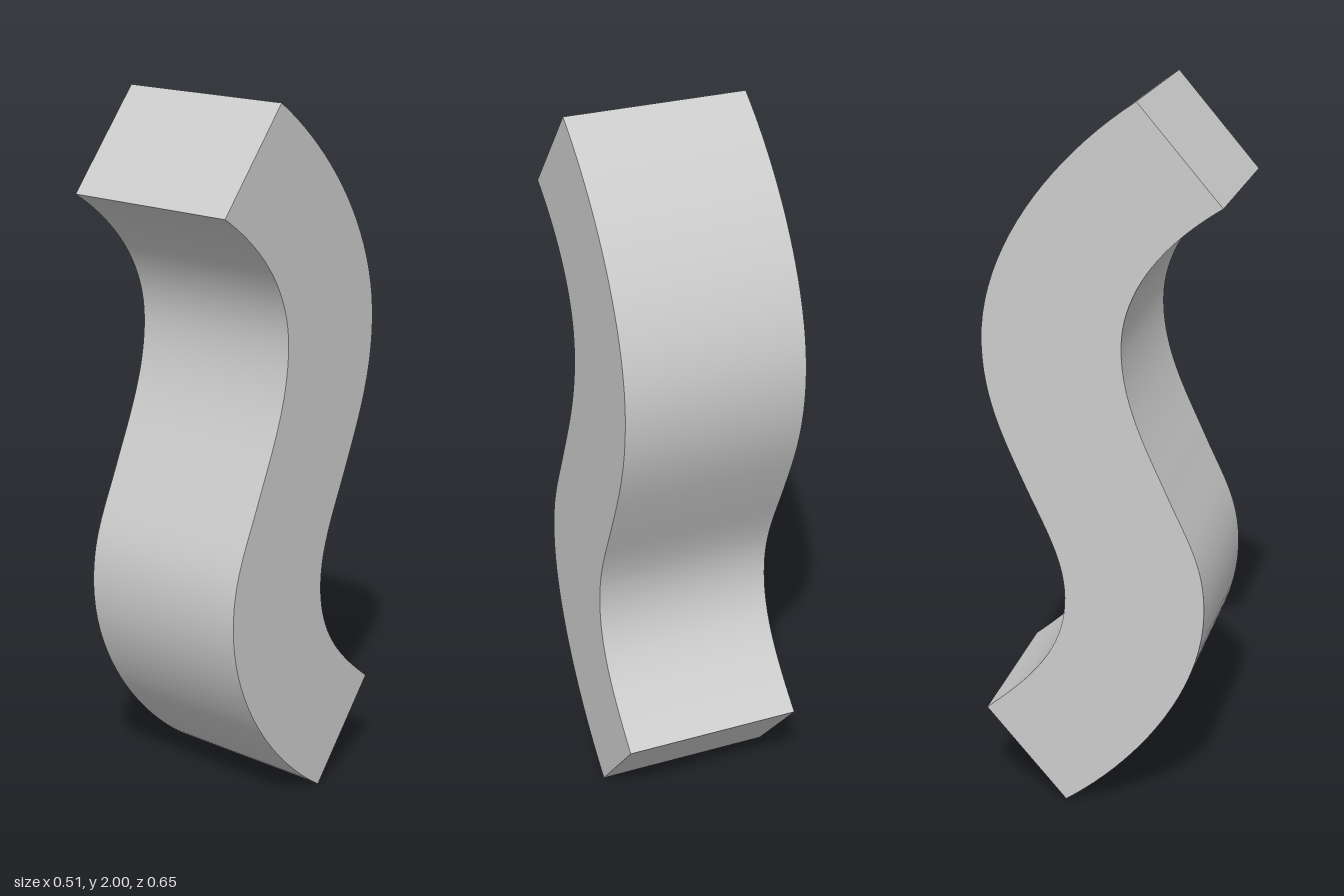
import * as THREE from 'three';
import { toCreasedNormals } from 'three/addons/utils/BufferGeometryUtils.js';

export function createModel() {
  const group = new THREE.Group();
  group.name = 'curvedBar';
  const width = 0.506;

  // S-shaped side profile, drawn with its horizontal axis pointing backward
  const profile = new THREE.Shape();
  profile.moveTo(0.097, 0);
  // lower cap, then the back edge upward
  profile.lineTo(0.326, 0.264);
  profile.bezierCurveTo(0.21, 0.36, 0.095, 0.46, 0.095, 0.626);
  profile.bezierCurveTo(0.095, 0.74, 0.153, 0.834, 0.207, 0.954);
  profile.bezierCurveTo(0.261, 1.074, 0.318, 1.19, 0.318, 1.347);
  profile.bezierCurveTo(0.318, 1.6, 0.12, 1.85, -0.103, 2);
  // upper cap, then the front edge downward
  profile.lineTo(-0.329, 1.739);
  profile.bezierCurveTo(-0.19, 1.65, -0.064, 1.52, -0.064, 1.352);
  profile.bezierCurveTo(-0.064, 1.2, -0.137, 1.07, -0.191, 0.95);
  profile.bezierCurveTo(-0.245, 0.83, -0.295, 0.76, -0.295, 0.62);
  profile.bezierCurveTo(-0.295, 0.37, -0.09, 0.13, 0.097, 0);

  // Sweep across the width, smooth along the curves and sharp at the edges
  let geometry = new THREE.ExtrudeGeometry(profile, {
    depth: width, bevelEnabled: false, curveSegments: 20,
  });
  geometry.translate(0, 0, -width / 2);
  geometry.rotateY(Math.PI / 2);
  geometry = toCreasedNormals(geometry, 0.6);

  const bar = new THREE.Mesh(geometry, new THREE.MeshStandardMaterial({ color: 0xcccccc }));
  bar.name = 'sCurveBar';
  group.add(bar);
  return group;
}
